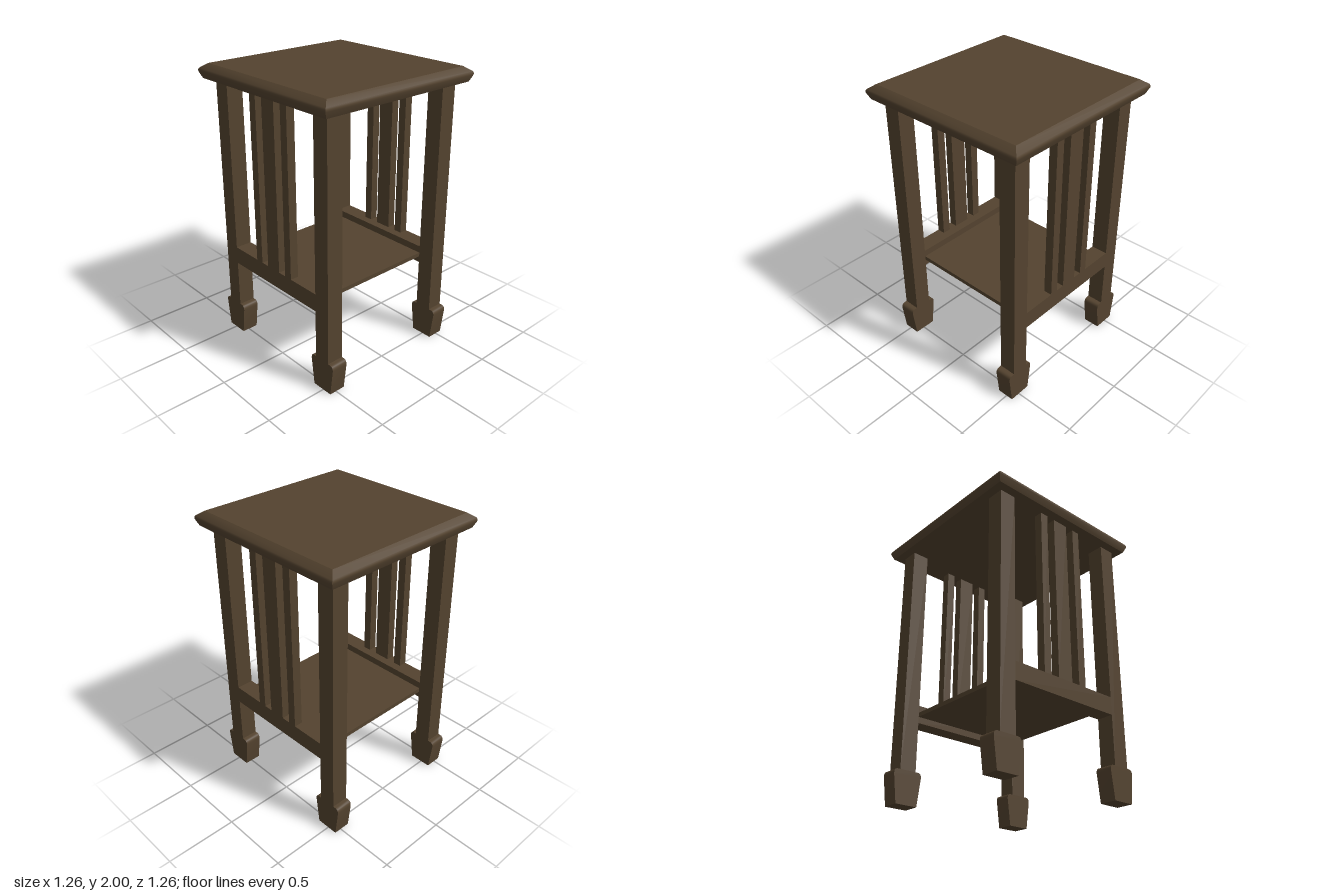
import * as THREE from 'three';
import { toCreasedNormals } from 'three/addons/utils/BufferGeometryUtils.js';

const wood = new THREE.MeshStandardMaterial({ color: 0x54432f });

function add(parent, name, geometry, x = 0, y = 0, z = 0) {
  const mesh = new THREE.Mesh(geometry, wood);
  mesh.name = name;
  mesh.position.set(x, y, z);
  parent.add(mesh);
  return mesh;
}

// Box given by its centre in x and z and its bottom and top heights
function post(parent, name, w, d, x, z, y0, y1) {
  return add(parent, name, new THREE.BoxGeometry(w, y1 - y0, d), x, (y0 + y1) / 2, z);
}

// Square top with a moulded edge: a four-sided lathe of the edge profile
function topGeometry() {
  const profile = [[0, 1.9], [0.61, 1.9], [0.63, 1.945], [0.63, 1.957], [0.625, 1.968], [0.58, 2], [0, 2]]
    .map(([r, y]) => new THREE.Vector2(r * Math.SQRT2, y));
  return toCreasedNormals(new THREE.LatheGeometry(profile, 4, Math.PI / 4), 0.6);
}

// Tapered foot with rounded shoulders, as thick as the leg
function footGeometry(width) {
  const s = new THREE.Shape();
  s.moveTo(-0.08, 0);
  s.lineTo(0.08, 0);
  s.lineTo(0.105, 0.195);
  s.quadraticCurveTo(0.106, 0.228, 0.08, 0.23);
  s.lineTo(-0.08, 0.23);
  s.quadraticCurveTo(-0.106, 0.228, -0.105, 0.195);
  s.closePath();
  const g = new THREE.ExtrudeGeometry(s, { depth: width, bevelEnabled: false, curveSegments: 5 });
  g.translate(0, 0, -width / 2).rotateY(Math.PI / 2);
  return toCreasedNormals(g, 0.6);
}

export function createModel() {
  const table = new THREE.Group();
  table.name = 'sideTable';

  add(table, 'tableTop', topGeometry());
  post(table, 'shelf', 0.86, 0.86, 0, 0, 0.62, 0.65);

  const foot = footGeometry(0.12);
  for (const sx of [1, -1]) {
    const side = new THREE.Group();
    side.name = sx > 0 ? 'leftSide' : 'rightSide';
    table.add(side);

    // Legs standing in their feet
    for (const sz of [1, -1]) {
      const end = sz > 0 ? 'front' : 'back';
      post(side, end + 'Leg', 0.12, 0.12, sx * 0.49, sz * 0.49, 0.23, 1.9);
      add(side, end + 'Foot', foot, sx * 0.49, 0, sz * 0.49);
    }

    // Lower rail and the slats above it, flush with the outside of the legs
    post(side, 'rail', 0.12, 0.86, sx * 0.49, 0, 0.575, 0.7);
    for (const [z, width] of [[-0.155, 0.06], [0, 0.12], [0.155, 0.06]]) {
      post(side, z ? 'narrowSlat' : 'wideSlat', 0.06, width, sx * 0.52, z, 0.7, 1.9);
    }
  }
  return table;
}
